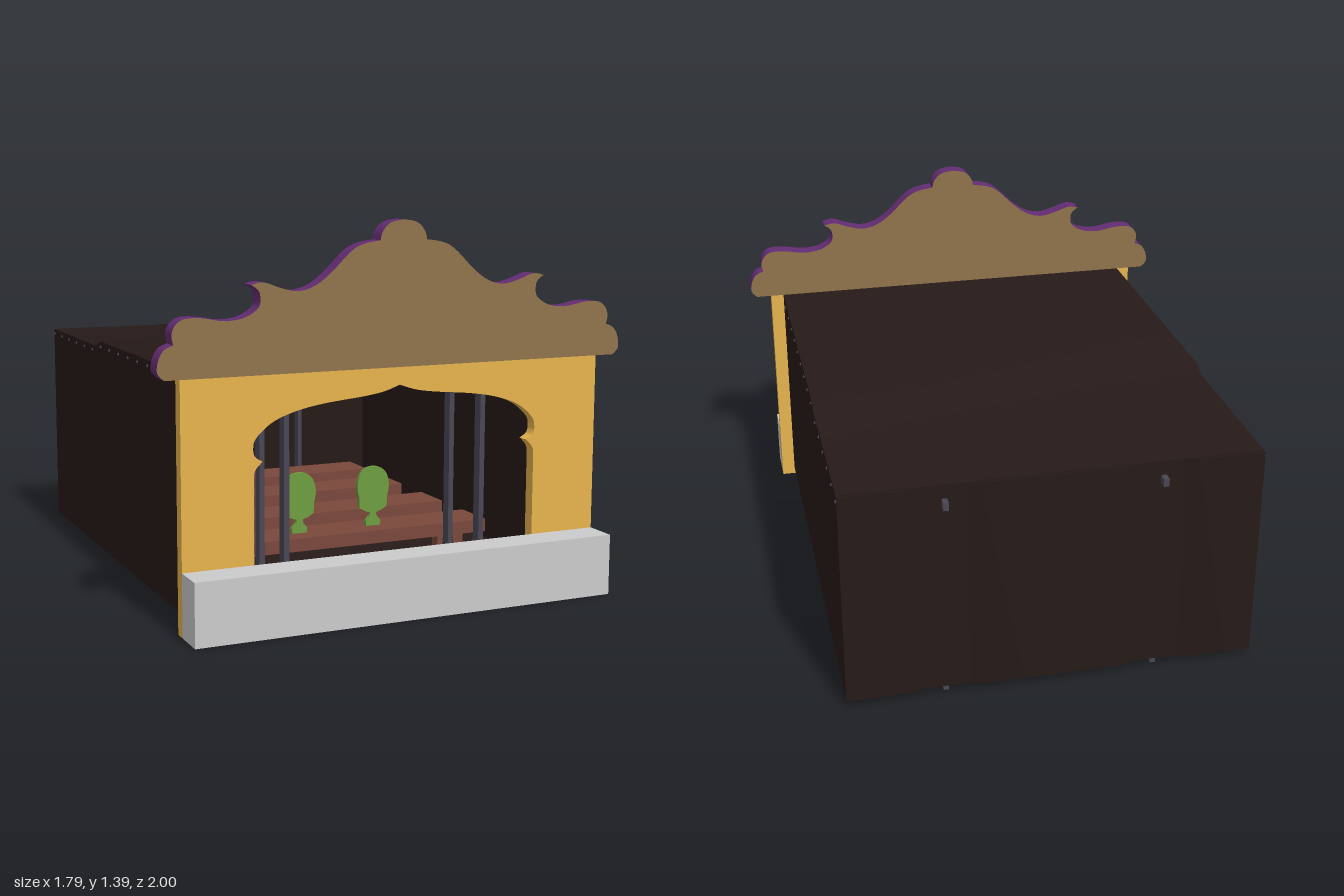
import * as THREE from 'three';
import { toCreasedNormals } from 'three/addons/utils/BufferGeometryUtils.js';

const mat = (color) => new THREE.MeshStandardMaterial({ color, side: THREE.DoubleSide });
const V = (x, y) => new THREE.Vector2(x, y);

// Right half of an outline, mirrored into a closed shape; the half ends on x = 0
function mirrored(half) {
  const left = half.slice(0, -1).reverse().map((p) => V(-p.x, p.y));
  return [...half, ...left];
}

// Smooth runs joined by sharp corners
function runs(list) {
  const out = [];
  for (const run of list) {
    const pts = run.map(([x, y]) => V(x, y));
    const smooth = pts.length > 2 ? new THREE.SplineCurve(pts).getPoints(pts.length * 4) : pts;
    out.push(...(out.length ? smooth.slice(1) : smooth));
  }
  return out;
}

function extrude(points, depth) {
  const g = new THREE.ExtrudeGeometry(new THREE.Shape(points), { depth, bevelEnabled: false });
  return toCreasedNormals(g, 0.6);
}

export function createModel() {
  const model = new THREE.Group();
  const cloth = mat(0x261a18), wood = mat(0x7a483c), steel = mat(0x4a4654);
  const yellow = mat(0xe6b44e), tan = mat(0x90744c), purple = mat(0x642c73);
  const green = mat(0x6d9f40), grey = mat(0xcccccc);

  const add = (name, geo, material, x = 0, y = 0, z = 0, parent = model) => {
    const m = new THREE.Mesh(geo, material);
    m.name = name;
    m.position.set(x, y, z);
    parent.add(m);
    return m;
  };
  // Box given by its limits on each axis
  const box = (name, material, x0, x1, y0, y1, z0, z1, parent = model) =>
    add(name, new THREE.BoxGeometry(x1 - x0, y1 - y0, z1 - z0), material,
      (x0 + x1) / 2, (y0 + y1) / 2, (z0 + z1) / 2, parent);

  // Stone ledge in front of the stage
  box('frontLedge', grey, -0.81, 0.81, 0, 0.225, 0.875, 1);

  // Front wall with a scalloped arch opening
  const arch = mirrored(runs([
    [[0.55, 0], [0.55, 0.54]],
    [[0.55, 0.54], [0.54, 0.56], [0.518, 0.582]],
    [[0.518, 0.582], [0.545, 0.6], [0.552, 0.63], [0.54, 0.665], [0.48, 0.715], [0.39, 0.748],
      [0.28, 0.768], [0.14, 0.782], [0.06, 0.795], [0, 0.815]],
  ]));
  const wall = [...arch, V(-0.81, 0), V(-0.81, 0.88), V(0.81, 0.88), V(0.81, 0)];
  add('frontWall', extrude(wall, 0.045), yellow, 0, 0, 0.83);

  // Scrolled crown board with painted edge
  const crown = mirrored(runs([
    [[0.87, 0.88], [0.893, 0.905], [0.89, 0.945], [0.87, 0.98], [0.838, 0.995]],
    [[0.838, 0.995], [0.843, 1.03], [0.83, 1.06], [0.8, 1.079], [0.74, 1.08], [0.66, 1.067],
      [0.59, 1.075], [0.54, 1.105], [0.532, 1.14], [0.54, 1.165], [0.565, 1.183]],
    [[0.565, 1.183], [0.52, 1.19], [0.46, 1.17], [0.4, 1.157], [0.34, 1.17], [0.28, 1.21],
      [0.2, 1.285], [0.15, 1.31], [0.09, 1.32]],
    [[0.09, 1.32], [0.08, 1.352], [0.05, 1.38], [0, 1.39]],
  ]));
  add('crownBoard', extrude(crown, 0.065), [tan, purple], 0, 0, 0.83);

  // Cloth hall behind the front: floor, sides, stepped roof, back curtain
  const hall = new THREE.Group();
  hall.name = 'clothHall';
  model.add(hall);
  const T = 0.008;
  box('floor', cloth, -0.757, 0.757, 0.03, 0.03 + T, -0.966, 0.83, hall);
  const roofLine = [V(-0.83, 0.88), V(0.25, 0.88), V(0.31, 0.855), V(0.965, 0.855)];
  const roofUnder = roofLine.map((p) => V(p.x, p.y - T)).reverse();
  const roof = add('roof', extrude([...roofLine, ...roofUnder], 1.51), cloth, -0.755, 0, 0, hall);
  roof.rotation.y = Math.PI / 2;
  const sideLine = [V(-0.83, 0.03), V(0.978, 0.03), V(0.978, 0.855), ...roofLine.slice(0, 3).reverse()];
  for (const s of [-1, 1]) {
    const side = add('sideWall', extrude(sideLine, T), cloth, s > 0 ? 0.757 - T : -0.757, 0, 0, hall);
    side.rotation.y = Math.PI / 2;
  }
  // Back curtain is drawn in around the two rear posts
  const fold = mirrored([[0.757, 0.982], [0.51, 0.982], [0.48, 0.967], [0.46, 0.967], [0.44, 0.971],
    [0.42, 0.967], [0.36, 0.967], [0.34, 0.971], [0.32, 0.967], [0.3, 0.967], [0.27, 0.982],
    [0, 0.982]].map(([x, z]) => V(x, z)));
  const inner = fold.map((p) => V(p.x, p.y - T)).reverse();
  const back = add('backCurtain', extrude([...fold, ...inner], 0.825), cloth, 0, 0.03, 0, hall);
  back.rotation.x = -Math.PI / 2;

  // Studs along the upper cloth edges
  const stud = new THREE.SphereGeometry(0.006, 8, 6);
  for (let i = 0; i < 15; i++) {
    const z = 0.73 - i * 0.1215;
    for (const s of [-1, 1]) add('stud', stud, steel, s * 0.757, z > -0.28 ? 0.858 : 0.835, z, hall);
  }

  // Steel frame on each side: posts, foot bar and top rail
  for (const s of [-1, 1]) {
    const frame = new THREE.Group();
    frame.name = s > 0 ? 'leftFrame' : 'rightFrame';
    model.add(frame);
    const x0 = s * 0.39 - 0.01, x1 = s * 0.39 + 0.01;
    box('footBar', steel, x0, x1, 0, 0.04, 0.51, 0.78, frame);
    box('topRail', steel, x0, x1, 0.77, 0.8, -1, 0.78, frame);
    for (const z of [0.76, 0.53, -0.93]) box('post', steel, x0, x1, 0, 0.845, z - 0.02, z + 0.02, frame);
  }

  // Four rows of benches
  for (const z of [0.365, 0.01, -0.36, -0.71]) {
    const bench = new THREE.Group();
    bench.name = 'bench';
    model.add(bench);
    box('seat', wood, -0.6, 0.6, 0.135, 0.185, z - 0.09, z + 0.09, bench);
    for (const s of [-1, 1]) {
      for (const d of [-0.063, 0.063]) {
        box('leg', wood, s * 0.48 - 0.022, s * 0.48 + 0.022, 0, 0.14, z + d - 0.023, z + d + 0.023, bench);
      }
    }
  }

  // Green paddles standing on the first bench
  const paddle = mirrored(runs([
    [[0.03, 0.185], [0.03, 0.205], [0.014, 0.225], [0.014, 0.238]],
    [[0.014, 0.238], [0.035, 0.245], [0.058, 0.258]],
    [[0.058, 0.258], [0.06, 0.3]],
    [[0.06, 0.3], [0.066, 0.325], [0.066, 0.355], [0.055, 0.39], [0.03, 0.413], [0, 0.419]],
  ]));
  const paddleGeo = extrude(paddle, 0.016);
  for (const x of [-0.166, 0.145]) add('paddle', paddleGeo, green, x, 0, 0.36);

  return model;
}
